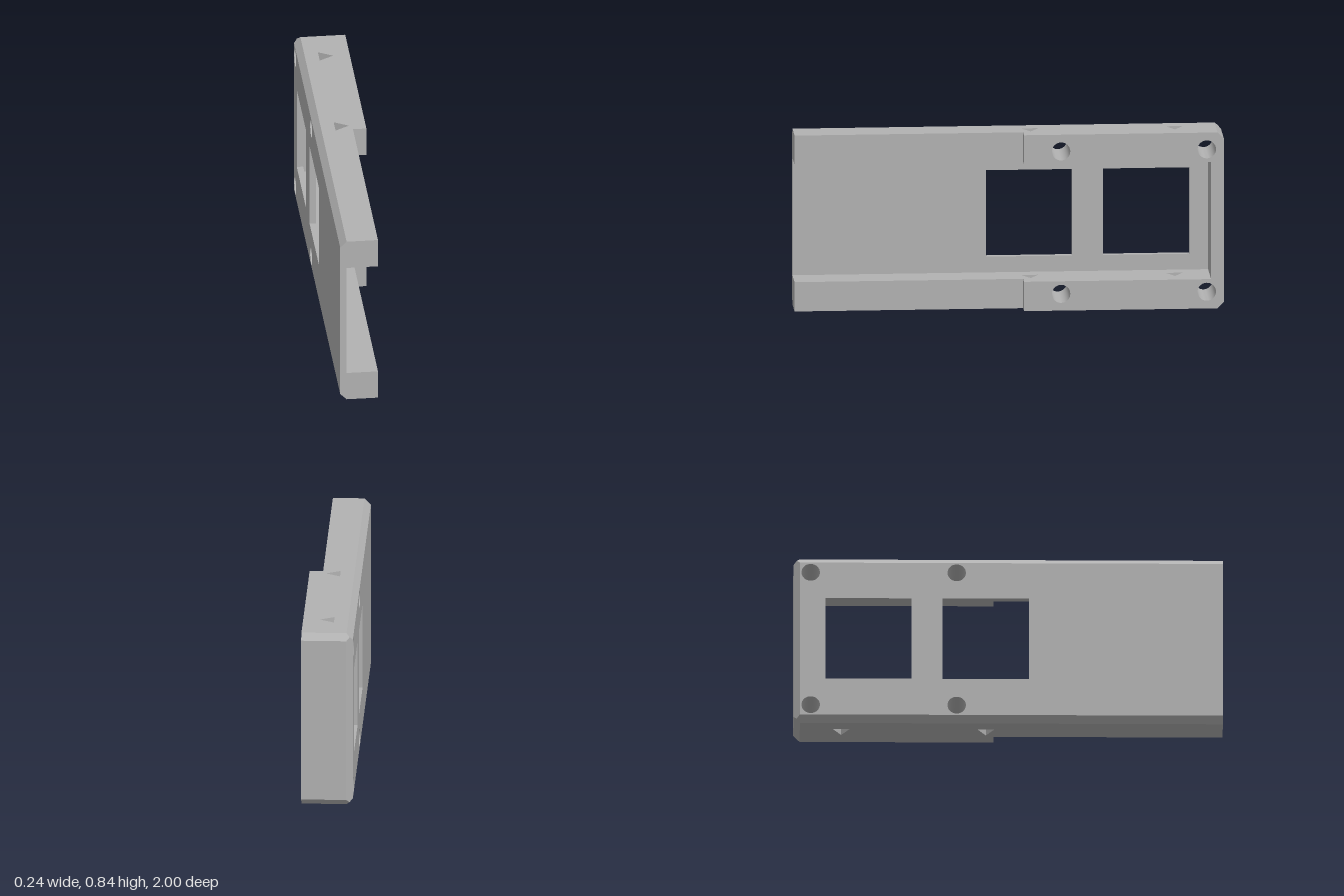
import * as THREE from 'three';
import { mergeGeometries, toCreasedNormals } from 'three/addons/utils/BufferGeometryUtils.js';

// Key levels: plate back, plate inside, low rail, high rail (x)
const A = -0.12, B = -0.09, C = 0.057, D = 0.12;
// Height, rail height, step position, end wall inside, chamfer (y and z)
const H = 0.84, R = 0.14, STEP = -0.067, WALL = -0.94, CH = 0.03;

// Maps 2D points onto the plane lying across an axis
const place = {
  x: (a, b, at) => [at, b, a], // a = z, b = y
  y: (a, b, at) => [a, at, b], // a = x, b = z
  z: (a, b, at) => [a, b, at], // a = x, b = y
};
const vec = (pts) => pts.map(([a, b]) => new THREE.Vector2(a, b));
const rect = (a0, a1, b0, b1) => [[a0, b0], [a1, b0], [a1, b1], [a0, b1]];

function fromTriangles(positions) {
  const g = new THREE.BufferGeometry();
  g.setAttribute('position', new THREE.Float32BufferAttribute(positions, 3));
  return g;
}

// Flat face across an axis, facing its + or - side, with optional holes
function face(axis, at, sign, outline, holes = []) {
  const shape = new THREE.Shape(vec(outline));
  shape.holes = holes.map((h) => new THREE.Path(vec(h)));
  const flat = new THREE.ShapeGeometry(shape).toNonIndexed().attributes.position;
  const flip = (axis === 'z' ? 1 : -1) !== sign;
  const out = [];
  for (let i = 0; i < flat.count; i += 3) {
    for (const k of flip ? [0, 2, 1] : [0, 1, 2]) {
      out.push(...place[axis](flat.getX(i + k), flat.getY(i + k), at));
    }
  }
  return fromTriangles(out);
}

// Inward-facing walls of a hole running along an axis
function holeWalls(axis, outline, lo, hi) {
  const out = [];
  outline.forEach(([a, b], i) => {
    const [c, d] = outline[(i + 1) % outline.length];
    const p = place[axis](a, b, lo), q = place[axis](c, d, lo);
    const r = place[axis](c, d, hi), s = place[axis](a, b, hi);
    out.push(...(axis === 'z' ? [p, r, q, p, s, r] : [p, q, r, p, r, s]).flat());
  });
  return fromTriangles(out);
}

// Slanted convex face, turned to point away from the middle of the block
function slant(points) {
  const p = points.map((q) => new THREE.Vector3(...q));
  const n = p[1].clone().sub(p[0]).cross(p[2].clone().sub(p[0]));
  const mid = p.reduce((s, q) => s.add(q), new THREE.Vector3()).divideScalar(p.length);
  if (n.dot(mid.sub(new THREE.Vector3(0, H / 2, 0))) < 0) p.reverse();
  const out = [];
  for (let i = 1; i < p.length - 1; i++) {
    for (const q of [p[0], p[i], p[i + 1]]) out.push(q.x, q.y, q.z);
  }
  return fromTriangles(out);
}

export function createModel() {
  const model = new THREE.Group();
  const grey = new THREE.MeshStandardMaterial({ color: 0xb2b2b2 });
  grey.name = 'grey';
  const add = (name, parts) => {
    const mesh = new THREE.Mesh(toCreasedNormals(mergeGeometries(parts), 0.5), grey);
    mesh.name = name;
    model.add(mesh);
  };

  // Openings, all wound counter-clockwise
  const circle = (z, y) => Array.from({ length: 32 }, (_, i) => {
    const t = (i / 32) * Math.PI * 2;
    return [z + 0.043 * Math.cos(t), y + 0.043 * Math.sin(t)];
  });
  const screws = [-0.24, -0.92].flatMap((z) => [circle(z, 0.08), circle(z, H - 0.08)]);
  const windows = [rect(-0.305, 0.097, 0.215, 0.628), rect(-0.852, -0.45, 0.215, 0.628)];
  const slots = [-0.777, -0.103].map((z) => [[-0.025, z - 0.04], [0.042, z], [-0.025, z + 0.04]]);

  // Back plate with its two windows
  add('backPlate', [
    face('x', A, -1, rect(-1 + CH, 1, CH, H - CH), [...screws, ...windows]),
    face('x', B, 1, rect(WALL, 1, R, H - R), windows),
    ...windows.map((w) => holeWalls('x', w, A, B)),
  ]);

  // Stepped rails, mirrored top and bottom
  const railSide = (end) => [[B, end], [D, end], [D, STEP], [C, STEP], [C, 1], [B, 1]];
  for (const top of [false, true]) {
    const outer = top ? H : 0, inner = top ? H - R : R;
    const [y0, y1] = top ? [inner, outer] : [outer, inner];
    const s = top ? 1 : -1;
    add(top ? 'topRail' : 'bottomRail', [
      face('y', outer, s, railSide(-1 + CH), slots),
      face('y', inner, -s, railSide(WALL), slots),
      face('x', C, 1, rect(STEP, 1, y0, y1)),
      face('z', STEP, 1, rect(C, D, y0, y1)),
      ...slots.map((t) => holeWalls('y', t, y0, y1)),
    ]);
  }

  // High rim running round the closed end
  add('raisedRim', [
    face('x', D, 1, [
      [STEP, 0], [STEP, R], [WALL, R], [WALL, H - R], [STEP, H - R], [STEP, H],
      [-1 + CH, H], [-1, H - CH], [-1, CH], [-1 + CH, 0],
    ], screws),
  ]);
  add('screwHoles', screws.map((c) => holeWalls('x', c, A, D)));

  // Closed end wall and open channel end
  add('endWall', [
    face('z', -1, -1, rect(B, D, CH, H - CH)),
    face('z', WALL, 1, rect(B, D, R, H - R)),
  ]);
  add('openEnd', [
    face('z', 1, 1, [
      [A, CH], [B, 0], [C, 0], [C, R], [B, R], [B, H - R],
      [C, H - R], [C, H], [B, H], [A, H - CH],
    ]),
  ]);

  // Bevels along the plate edges and the end corners
  const bevels = [];
  const back = [];
  for (const top of [false, true]) {
    const y = (inset) => (top ? H - inset : inset);
    const meet = [(A + B) / 2, y(CH / 2), -1 + CH / 2];
    const inside = [A, y(CH), -1 + CH], rim = [B, y(CH), -1];
    bevels.push(
      slant([[A, y(CH), 1], [B, y(0), 1], [B, y(0), -1 + CH], meet, inside]),
      slant([meet, [B, y(0), -1 + CH], [D, y(0), -1 + CH], [D, y(CH), -1], rim]),
    );
    back.push(...(top ? [rim, meet, inside] : [inside, meet, rim]));
  }
  add('bevels', [...bevels, slant(back)]);

  return model;
}
